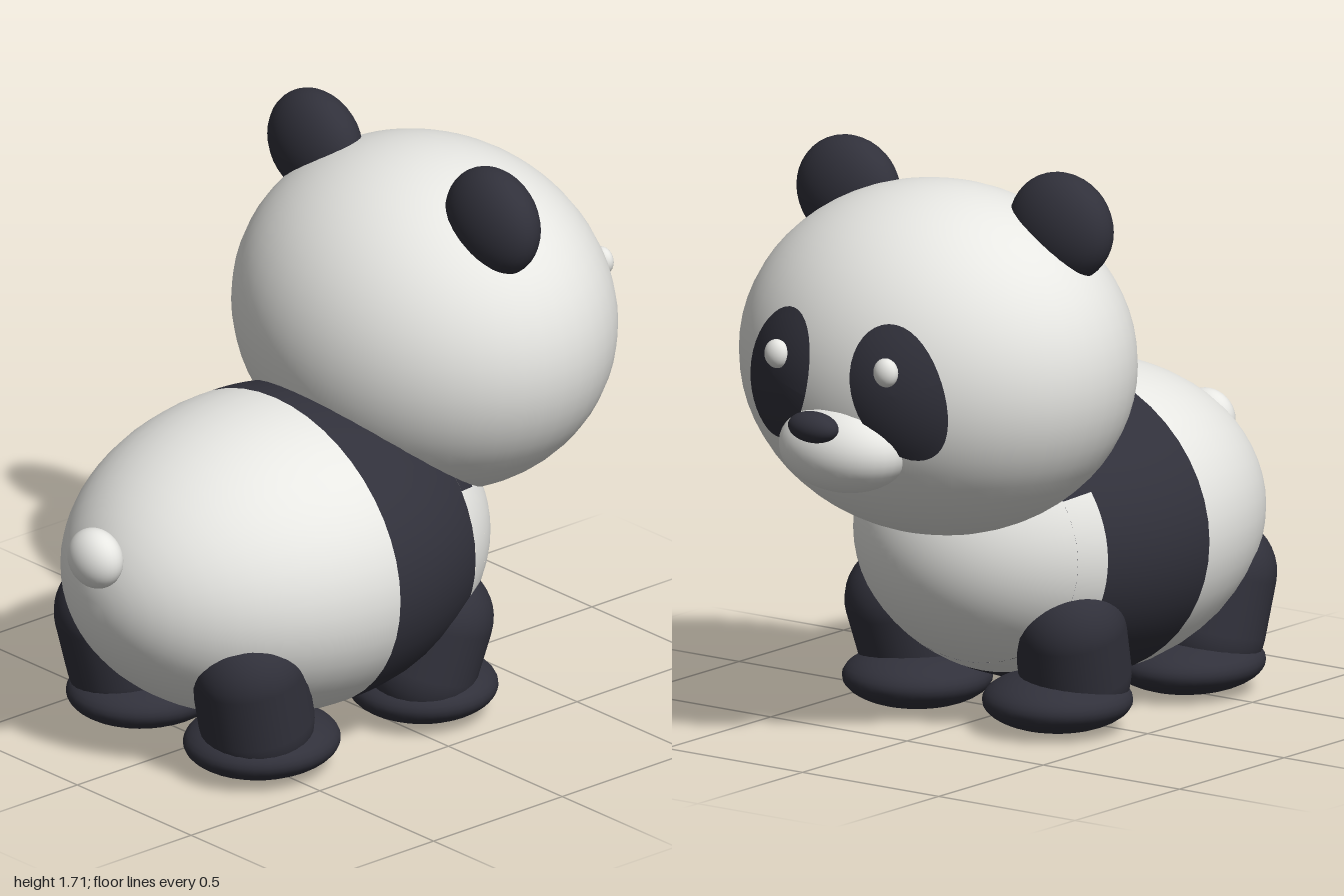
import * as THREE from 'three';

const mat = (name, color) => {
  const m = new THREE.MeshStandardMaterial({ color });
  m.name = name;
  return m;
};

export function createModel() {
  const white = mat('warm white', 0xebebe7);
  const black = mat('charcoal', 0x31313b);
  const group = new THREE.Group();
  group.name = 'panda';

  const add = (name, geometry, material) => {
    const mesh = new THREE.Mesh(geometry, material);
    mesh.name = name;
    group.add(mesh);
    return mesh;
  };

  // Ellipsoid from a centre and three radii
  const ellipsoid = (name, material, centre, radii, w = 32, h = 20) =>
    add(name, new THREE.SphereGeometry(1, w, h).scale(...radii).translate(...centre), material);

  // Body: one ellipsoid lying along x, split into coloured bands
  const body = { c: [-0.23, 0.54, 0], r: [0.68, 0.47, 0.55] };
  const angleAt = (x) => Math.acos((x - body.c[0]) / body.r[0]);
  const bodyBand = (name, material, xFront, xBack, phi = 0, phiLength = Math.PI * 2) => {
    const start = angleAt(xFront);
    const g = new THREE.SphereGeometry(1, 48, 14, phi, phiLength, start, angleAt(xBack) - start);
    g.rotateZ(-Math.PI / 2).scale(...body.r).translate(...body.c);
    return add(name, g, material);
  };
  const third = Math.PI / 3;
  bodyBand('rump', white, -0.23, -0.91);
  bodyBand('shoulderBand', black, 0.14, -0.23);
  bodyBand('chestSides', white, 0.22, 0.14, third, third * 4);
  bodyBand('shoulderTop', black, 0.22, 0.14, -third, third * 2);
  bodyBand('chest', white, 0.45, 0.22);

  // Head
  const head = { c: [0.35, 1.125, 0], r: [0.52, 0.52, 0.615] };
  ellipsoid('head', white, head.c, head.r, 48, 32);
  ellipsoid('muzzle', white, [0.8, 0.938, 0], [0.15, 0.132, 0.212]);
  ellipsoid('nose', black, [0.948, 1.025, 0], [0.05, 0.046, 0.085]);
  ellipsoid('tail', white, [-0.93, 0.7, 0], [0.07, 0.09, 0.095]);

  // Eye patch: tilted oval wrapped over the front of the head
  const eyePatch = (s) => {
    const g = new THREE.RingGeometry(0, 1, 40, 8);
    const p = g.attributes.position;
    const tilt = -s * 0.32;
    for (let i = 0; i < p.count; i++) {
      const a = p.getX(i), b = p.getY(i);
      const u = a * 0.135 * Math.cos(tilt) - b * 0.207 * Math.sin(tilt);
      const v = a * 0.135 * Math.sin(tilt) + b * 0.207 * Math.cos(tilt);
      const z = s * 0.218 - u, y = 1.132 + v;
      const k = 1 - ((y - head.c[1]) / head.r[1]) ** 2 - (z / head.r[2]) ** 2;
      const lift = 0.02 - 0.012 * (a * a + b * b);
      p.setXYZ(i, head.c[0] + head.r[0] * Math.sqrt(k) + lift, y, z);
    }
    g.computeVertexNormals();
    return g;
  };

  // Leg: capsule between two points
  const leg = (name, bottom, top, radius) => {
    const a = new THREE.Vector3(...bottom), b = new THREE.Vector3(...top);
    const axis = b.clone().sub(a);
    const mesh = add(name, new THREE.CapsuleGeometry(radius, axis.length(), 10, 28), black);
    mesh.position.copy(a).add(b).multiplyScalar(0.5);
    mesh.quaternion.setFromUnitVectors(new THREE.Vector3(0, 1, 0), axis.normalize());
  };

  // Paired parts
  for (const s of [1, -1]) {
    const side = s > 0 ? 'Left' : 'Right';
    ellipsoid('ear' + side, black, [0.27, 1.552, s * 0.39], [0.105, 0.163, 0.175]);
    add('eyePatch' + side, eyePatch(s), black);
    ellipsoid('eye' + side, white, [0.862, 1.2, s * 0.2], [0.03, 0.043, 0.04], 20, 12);
    leg('frontLeg' + side, [0.08, 0.17, s * 0.295], [0.125, 0.315, s * 0.31], 0.165);
    leg('backLeg' + side, [-0.56, 0.18, s * 0.29], [-0.6, 0.345, s * 0.3], 0.17);
    ellipsoid('frontFoot' + side, black, [0.115, 0.092, s * 0.257], [0.222, 0.09, 0.22]);
    ellipsoid('backFoot' + side, black, [-0.51, 0.092, s * 0.257], [0.238, 0.09, 0.22]);
  }
  return group;
}
